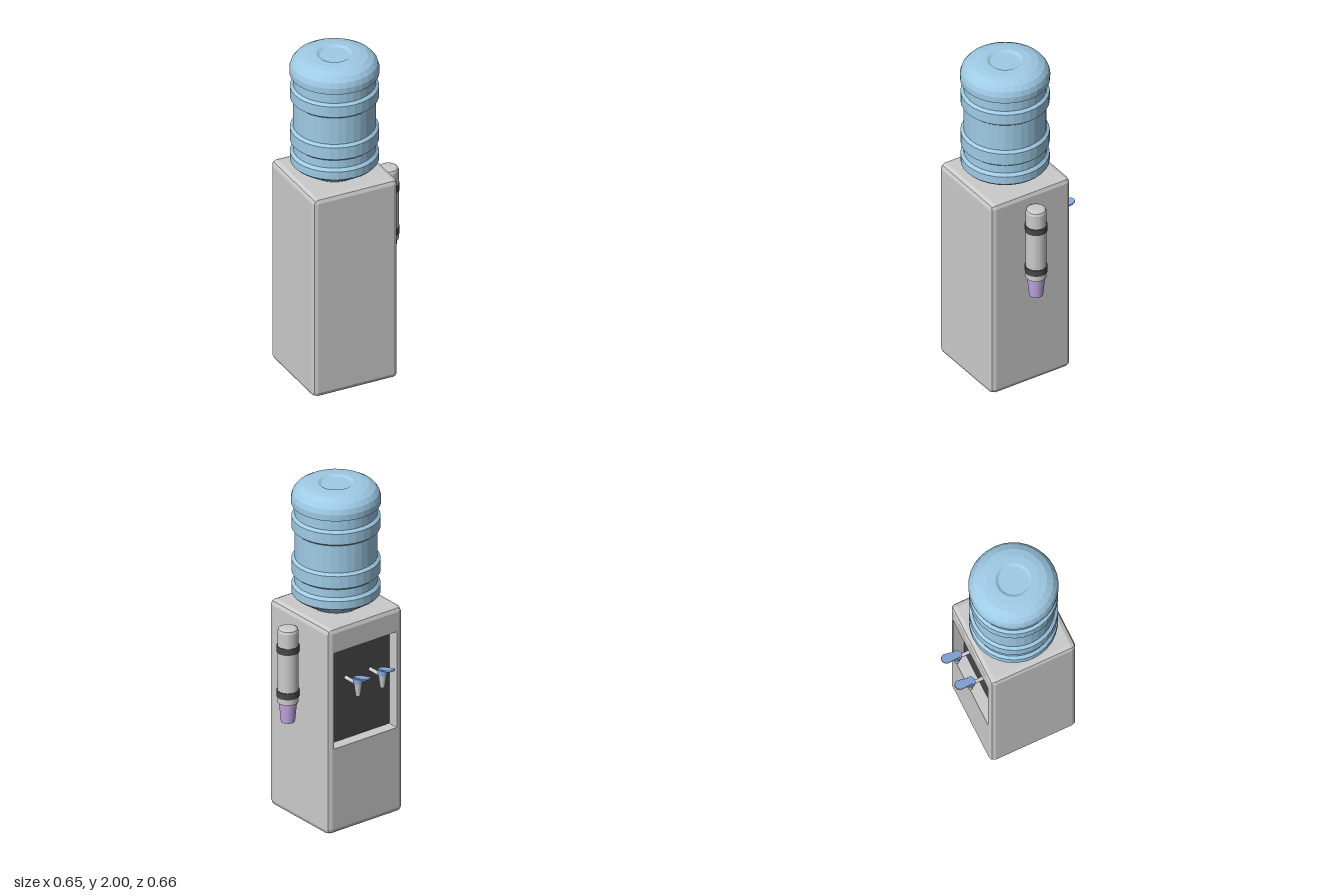
import * as THREE from 'three';

const mat = (color, side = THREE.FrontSide) =>
  new THREE.MeshStandardMaterial({ color, flatShading: true, side });
const GREY = mat(0xcccccc), DARK = mat(0x484848), BLUE = mat(0x9fcbe6);
const TAP_BLUE = mat(0x8aaade), PURPLE = mat(0xc4a8e4);
const CX = -0.065, CZ = 0.068;

function add(parent, name, geometry, material, x = 0, y = 0, z = 0) {
  const mesh = new THREE.Mesh(geometry, material);
  mesh.name = name;
  mesh.position.set(x, y, z);
  parent.add(mesh);
  return mesh;
}

const lathe = (points, segments) =>
  new THREE.LatheGeometry(points.map(([r, y]) => new THREE.Vector2(r, y)), segments);

// Rounded rectangle loop, counter-clockwise seen from +z
function loop(hw, hh, r, z, cy = 0) {
  const pts = [];
  [[1, 1], [-1, 1], [-1, -1], [1, -1]].forEach(([sx, sy], q) => {
    for (let i = 0; i < 3; i++) {
      const a = (q + i / 2) * Math.PI / 2;
      pts.push([sx * (hw - r) + r * Math.cos(a), cy + sy * (hh - r) + r * Math.sin(a), z]);
    }
  });
  return pts;
}

// Skin a list of equal-length loops, running from front to back
function loft(loops) {
  const n = loops[0].length, index = [];
  for (let k = 0; k < loops.length - 1; k++)
    for (let i = 0; i < n; i++) {
      const a = k * n + i, a2 = k * n + (i + 1) % n;
      index.push(a, a + n, a2, a2, a + n, a2 + n);
    }
  const g = new THREE.BufferGeometry();
  g.setAttribute('position', new THREE.Float32BufferAttribute(loops.flat(2), 3));
  g.setIndex(index);
  const flat = g.toNonIndexed();
  flat.computeVertexNormals();
  return flat;
}

// Cabinet with bevelled edges and a recess sunk into the tap side
function makeCabinet() {
  const g = new THREE.Group();
  g.name = 'cabinet';
  const w = 0.263, h = 0.629, d = 0.263, r = 0.03, m = 0.009;
  const rw = 0.22, rh = 0.293, ry = 0.187, floor = -d + 0.07;
  add(g, 'cabinetShell', loft([
    loop(0, 0, 0, d),
    loop(w - r, h - r, 0.004, d),
    loop(w - m, h - m, r - m, d - m),
    loop(w, h, r, d - r),
    loop(w, h, r, -d + r),
    loop(w - m, h - m, r - m, -d + m),
    loop(w - r, h - r, 0.004, -d),
    loop(rw, rh, 0.001, -d, ry),
    loop(rw, rh, 0.001, floor, ry),
    loop(0, 0, 0, floor, ry),
  ]), GREY);
  add(g, 'recessPanel', new THREE.BoxGeometry(rw * 2, rh * 2, 0.004), DARK, 0, ry, floor);
  for (const sx of [-1, 1])
    for (const sz of [-1, 1])
      add(g, 'foot', new THREE.CylinderGeometry(0.04, 0.04, 0.01, 16), GREY,
        sx * 0.19, -h - 0.002, sz * 0.19);
  g.position.set(CX, h + 0.007, CZ);
  return g;
}

// Upturned water bottle: neck, ribs, shoulder and dimpled base
function makeBottle() {
  const profile = [[0, 1.262], [0.14, 1.262], [0.235, 1.325], [0.246, 1.337], [0.246, 1.385], [0.23, 1.402]];
  for (const [lo, hi] of [[1.45, 1.552], [1.718, 1.812]])
    profile.push([0.229, lo], [0.246, lo + 0.014], [0.246, hi - 0.014], [0.229, hi]);
  profile.push([0.229, 1.875], [0.248, 1.878], [0.249, 1.915], [0.24, 1.945], [0.22, 1.97],
    [0.185, 1.99], [0.145, 1.998], [0.1, 2], [0.083, 1.99], [0, 1.99]);
  return lathe(profile, 32);
}

// Tube of paper cups strapped to the cabinet side
function makeCupDispenser() {
  const g = new THREE.Group();
  g.name = 'cupDispenser';
  add(g, 'cupTube', lathe([[0, 0.75], [0.058, 0.75], [0.058, 1.182], [0.053, 1.196],
    [0.04, 1.203], [0, 1.206]], 28), GREY);
  for (const y of [0.805, 1.077])
    add(g, 'strap', new THREE.CylinderGeometry(0.063, 0.063, 0.038, 28), DARK, 0, y);
  add(g, 'cup', lathe([[0, 0.636], [0.036, 0.636], [0.036, 0.63], [0.039, 0.63],
    [0.051, 0.752]], 28), PURPLE);
  g.position.set(0.262, 0, 0.08);
  return g;
}

// Tap: feed pipe, tapered spout, collar and push lever
function makeTap(x) {
  const g = new THREE.Group();
  g.name = 'tap';
  const pipe = new THREE.CylinderGeometry(0.011, 0.011, 0.115, 12).rotateX(Math.PI / 2);
  add(g, 'feedPipe', pipe, GREY, 0, 0.903, 0.055);
  add(g, 'spout', lathe([[0, 0.84], [0.009, 0.84], [0.009, 0.834], [0.013, 0.834],
    [0.024, 0.915], [0, 0.915]], 20), GREY);
  add(g, 'collar', new THREE.CylinderGeometry(0.028, 0.027, 0.03, 20), TAP_BLUE, 0, 0.928);
  const shape = new THREE.Shape();
  shape.absarc(0, 0, 0.02, Math.PI, Math.PI * 2);
  shape.absarc(0, 0.072, 0.028, 0, Math.PI);
  const lever = new THREE.ExtrudeGeometry(shape, { depth: 0.008, bevelEnabled: false, curveSegments: 10 });
  lever.rotateX(-Math.PI / 2 + 0.24);
  add(g, 'lever', lever, TAP_BLUE, 0, 0.941, 0.003);
  g.position.set(x, 0, -0.237);
  return g;
}

export function createModel() {
  const model = new THREE.Group();
  model.name = 'waterCooler';
  model.add(makeCabinet());
  add(model, 'waterBottle', makeBottle(), BLUE, CX, 0, CZ);
  model.add(makeCupDispenser(), makeTap(-0.151), makeTap(0.02));
  return model;
}
